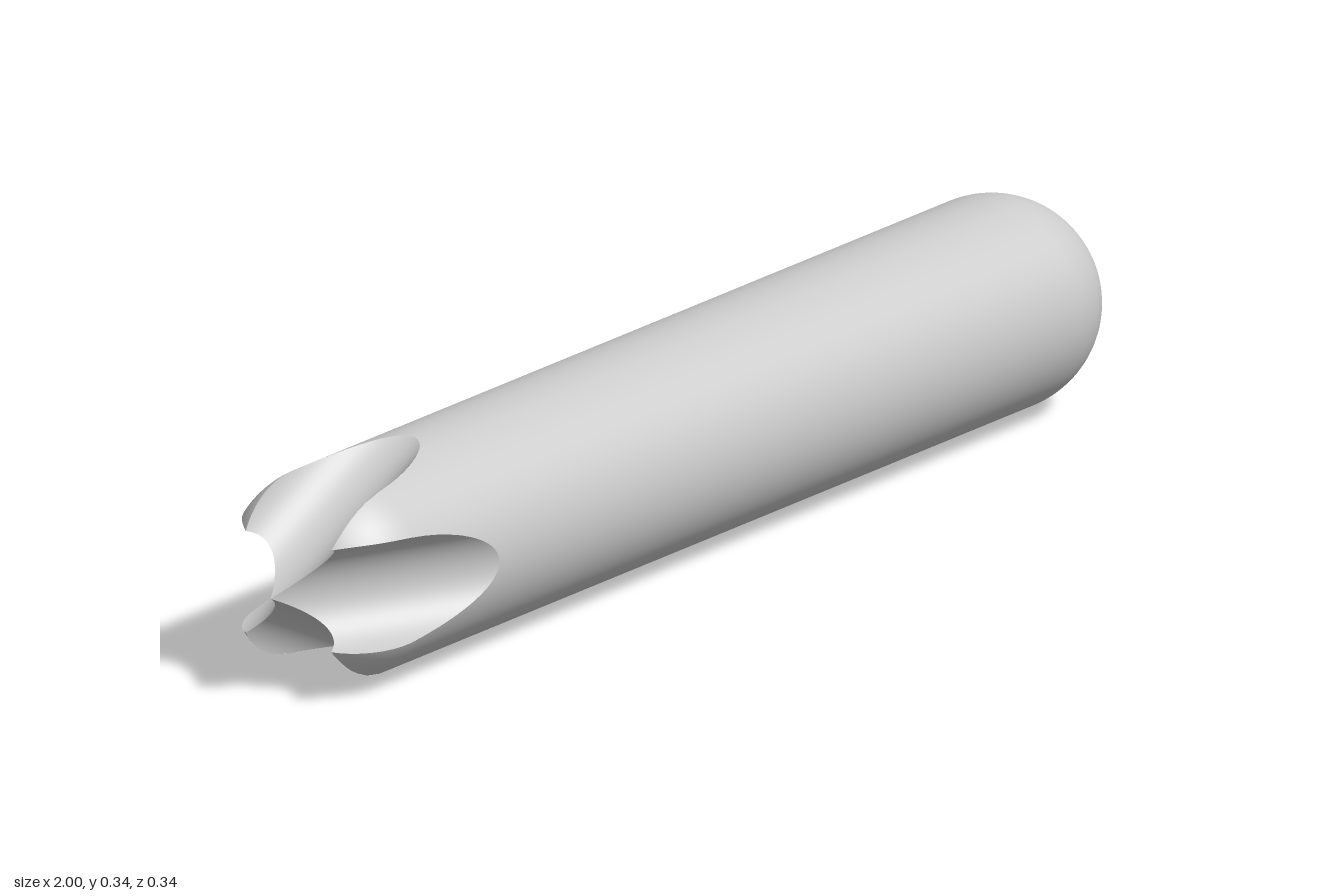
import * as THREE from 'three';

const R = 0.1685;          // body radius
const C = 1 - R;           // centre of each rounded end, along x
const K = 0.472;           // slope of the flute floor
const COS = 1 / Math.hypot(1, K);
const RF = 0.088;          // flute radius

// Grid of quads from a function (i, j) -> Vector3
function grid(nu, nv, point) {
  const pos = [], idx = [];
  for (let i = 0; i <= nu; i++)
    for (let j = 0; j <= nv; j++) pos.push(...point(i, j).toArray());
  for (let i = 0; i < nu; i++)
    for (let j = 0; j < nv; j++) {
      const a = i * (nv + 1) + j, b = a + nv + 1;
      idx.push(a, b, a + 1, b, b + 1, a + 1);
    }
  const g = new THREE.BufferGeometry();
  g.setAttribute('position', new THREE.Float32BufferAttribute(pos, 3));
  g.setIndex(idx);
  g.computeVertexNormals();
  return g;
}

// Boundary between a value where test is true and one where it is false
function bisect(yes, no, test) {
  for (let n = 0; n < 45; n++) {
    const m = (yes + no) / 2;
    if (test(m)) yes = m; else no = m;
  }
  return yes;
}

// Point on the capsule at arc length s from its +x pole, at angle phi around x
function capsulePoint(s, phi) {
  const q = R * Math.PI / 2;
  let x, r;
  if (s < q) { x = C + R * Math.cos(s / R); r = R * Math.sin(s / R); }
  else if (s < q + 2 * C) { x = C - (s - q); r = R; }
  else { const a = (s - q - 2 * C) / R; x = -C - R * Math.sin(a); r = R * Math.cos(a); }
  return new THREE.Vector3(x, r * Math.sin(phi), r * Math.cos(phi));
}

// True where a point lies inside the slanted round cut facing the nearest side
function inFlute(p) {
  const y = Math.min(Math.abs(p.y), Math.abs(p.z)), z = Math.max(Math.abs(p.y), Math.abs(p.z));
  const axis = K * (p.x + 1) + RF / COS;
  return p.x < -0.5 && Math.hypot(y, (z - axis) * COS) < RF;
}

// Capsule skin, ending where the flutes begin
function bodyGeometry() {
  const nu = 192, dome = 20, end = 40, q = R * Math.PI / 2;
  const sStart = q + C + 0.6, sMax = 2 * q + 2 * C;
  const ends = [];
  for (let i = 0; i <= nu; i++) {
    const phi = i / nu * Math.PI * 2;
    // march to the first entry into a flute, then refine
    let s = sStart;
    while (s < sMax && !inFlute(capsulePoint(s, phi))) s += 0.002;
    ends.push(bisect(s - 0.002, s, (t) => !inFlute(capsulePoint(t, phi))));
  }
  const g = grid(nu, dome + end + 1, (i, j) => {
    const s = j <= dome ? q * j / dome : sStart + (ends[i] - sStart) * (j - dome - 1) / end;
    return capsulePoint(s, i / nu * Math.PI * 2);
  });
  const p = g.attributes.position, n = g.attributes.normal;
  for (let i = 0; i < p.count; i++) {
    const x = p.getX(i);
    n.setXYZ(i, (x - THREE.MathUtils.clamp(x, -C, C)) / R, p.getY(i) / R, p.getZ(i) / R);
  }
  return g;
}

// Concave flute facing +z, trimmed by the capsule and the diagonals to its neighbours
function fluteGeometry() {
  const line = (u, x) => new THREE.Vector3(x, RF * Math.sin(u), K * (x + 1) + RF * (1 - Math.cos(u)) / COS);
  const outside = (u, x) => {
    const p = line(u, x);
    const dx = x - THREE.MathUtils.clamp(x, -C, C);
    return Math.max(Math.hypot(dx, p.y, p.z) - R, Math.abs(p.y) - p.z);
  };
  const deepest = (u) => {
    let a = -1.1, b = -0.5;
    for (let n = 0; n < 80; n++) {
      const m1 = a + (b - a) / 3, m2 = b - (b - a) / 3;
      if (outside(u, m1) < outside(u, m2)) b = m2; else a = m1;
    }
    return (a + b) / 2;
  };
  const uMax = bisect(0, Math.PI / 2, (u) => outside(u, deepest(u)) <= 0);
  const nu = 128, nv = 24, cols = [];
  for (let i = 0; i <= nu; i++) {
    const u = uMax * Math.sin((i / nu - 0.5) * Math.PI), mid = deepest(u);
    const test = (x) => outside(u, x) <= 0;
    cols.push({ u, hi: bisect(mid, -0.4, test), lo: bisect(mid, -1.2, test) });
  }
  return grid(nu, nv, (i, j) => {
    const { u, hi, lo } = cols[i];
    return line(u, hi + (lo - hi) * j / nv);
  });
}

export function createModel() {
  const model = new THREE.Group();
  model.name = 'flutedPin';
  const material = new THREE.MeshStandardMaterial({ color: 0xcccccc, side: THREE.DoubleSide });

  const body = new THREE.Mesh(bodyGeometry(), material);
  body.name = 'roundedBody';
  body.position.y = R;
  model.add(body);

  // Four flutes around the tip
  const flute = fluteGeometry();
  for (let i = 0; i < 4; i++) {
    const mesh = new THREE.Mesh(flute, material);
    mesh.name = 'tipFlute' + (i + 1);
    mesh.position.y = R;
    mesh.rotation.x = i * Math.PI / 2;
    model.add(mesh);
  }
  return model;
}
